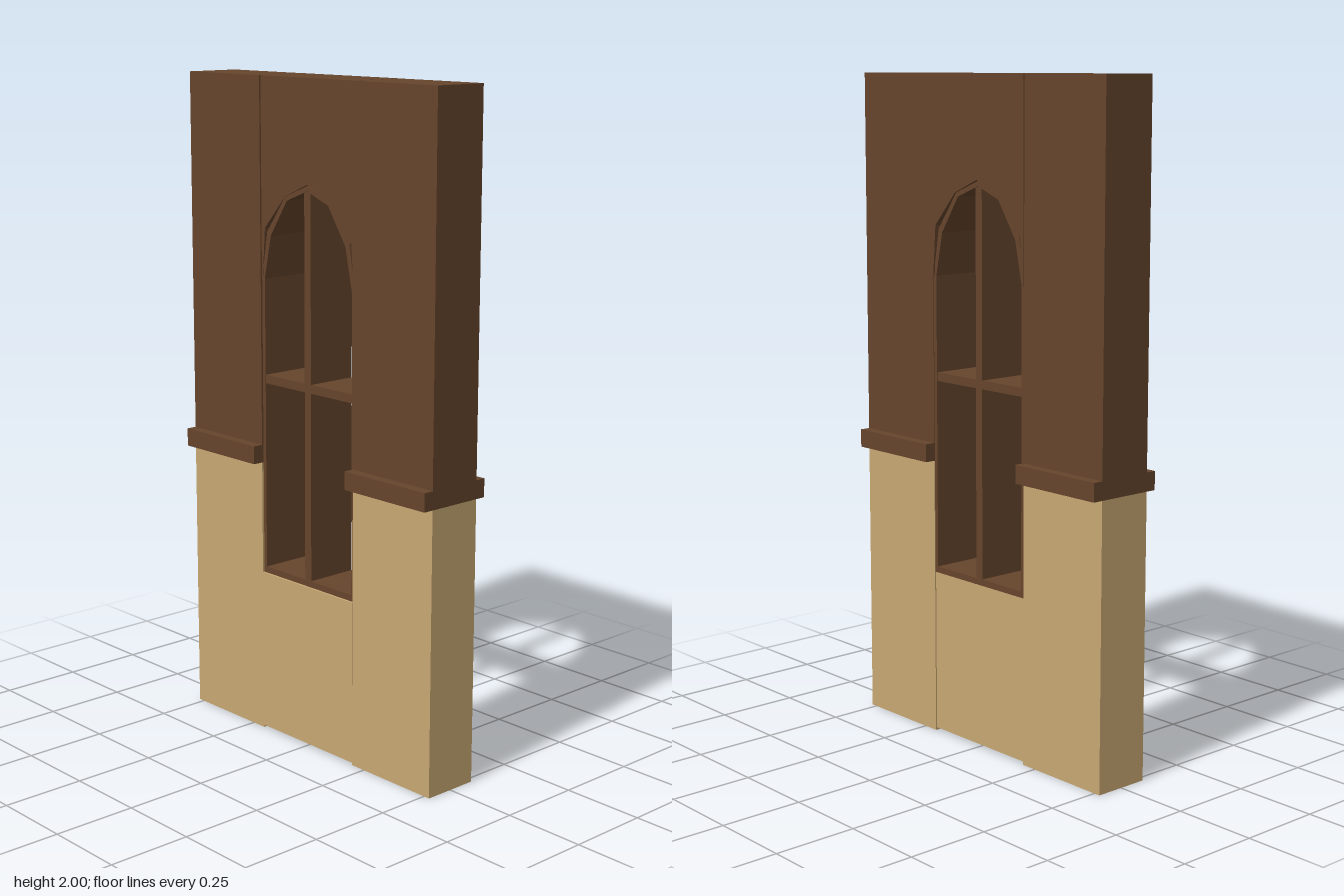
import * as THREE from 'three';

const wood = new THREE.MeshStandardMaterial({ color: 0x66452c });
wood.name = 'dark wood';
const plaster = new THREE.MeshStandardMaterial({ color: 0xc8a873 });
plaster.name = 'tan plaster';

// Box given by its minimum and maximum corners
function block(name, material, [x0, y0, z0], [x1, y1, z1]) {
  const mesh = new THREE.Mesh(new THREE.BoxGeometry(x1 - x0, y1 - y0, z1 - z0), material);
  mesh.position.set((x0 + x1) / 2, (y0 + y1) / 2, (z0 + z1) / 2);
  mesh.name = name;
  return mesh;
}

// Flat shape extruded from z0 to z1
function slab(name, material, shape, z0, z1) {
  const geometry = new THREE.ExtrudeGeometry(shape, { depth: z1 - z0, bevelEnabled: false });
  geometry.translate(0, 0, z0);
  const mesh = new THREE.Mesh(geometry, material);
  mesh.name = name;
  return mesh;
}

// Mirrors the right half of an arch, listed from the springing to the peak
function archPoints(half) {
  const left = half.slice(0, -1).reverse().map(([x, y]) => [-x, y]);
  return [...half, ...left].map(([x, y]) => new THREE.Vector2(x, y));
}

export function createModel() {
  const model = new THREE.Group();
  model.name = 'archedWindowWall';

  // Side walls with a projecting rail between plaster and wood
  for (const [side, x0, x1] of [['left', 0.2, 0.52], ['right', -0.52, -0.2]]) {
    model.add(block(side + 'LowerWall', plaster, [x0, 0, -0.087], [x1, 0.85, 0.087]));
    model.add(block(side + 'UpperWall', wood, [x0, 0.85, -0.087], [x1, 2, 0.087]));
    model.add(block(side + 'Rail', wood, [x0, 0.85, -0.119], [x1, 0.905, 0.119]));
  }

  // Wall below the window
  model.add(block('underWindowWall', plaster, [-0.2, 0.008, -0.083], [0.2, 0.505, 0.088]));

  // Wall above the window, cut by the faceted arch
  const panel = new THREE.Shape([
    new THREE.Vector2(-0.2, 2), new THREE.Vector2(-0.2, 1.41),
    ...archPoints([[0.196, 1.41], [0.185, 1.56], [0.095, 1.66], [0, 1.7]]).reverse(),
    new THREE.Vector2(0.197, 1.41), new THREE.Vector2(0.197, 2),
  ]);
  model.add(slab('archPanel', wood, panel, -0.09, 0.082));

  // Window frame with an arched top
  const frame = new THREE.Shape([
    new THREE.Vector2(-0.2, 0.505), new THREE.Vector2(0.2, 0.505),
    ...archPoints([[0.2, 1.41], [0.176, 1.55], [0.095, 1.66], [0, 1.697]]),
  ]);
  frame.holes.push(new THREE.Path([
    new THREE.Vector2(-0.188, 0.524), new THREE.Vector2(0.188, 0.524),
    ...archPoints([[0.188, 1.41], [0.16, 1.54], [0.088, 1.648], [0, 1.682]]),
  ]));
  model.add(slab('windowFrame', wood, frame, -0.085, 0.081));

  // Deep bars dividing the opening
  model.add(block('verticalBar', wood, [-0.015, 0.515, -0.083], [0.012, 1.68, 0.079]));
  model.add(block('crossBar', wood, [-0.192, 1.095, -0.083], [0.192, 1.121, 0.079]));

  return model;
}
